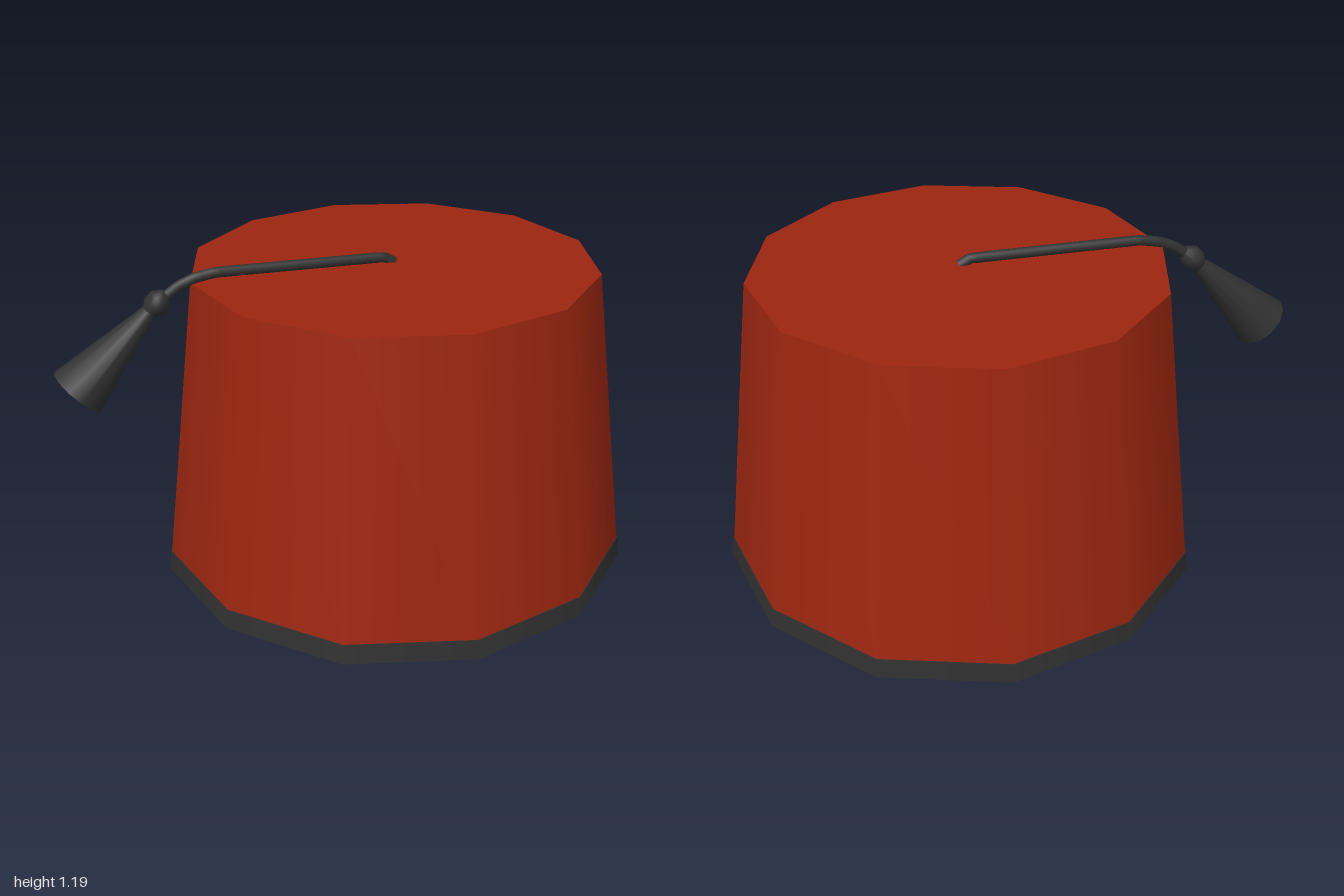
import * as THREE from 'three';

const felt = new THREE.MeshStandardMaterial({ color: 0x9c2610 });
felt.name = 'red felt';
const black = new THREE.MeshStandardMaterial({ color: 0x303030 });
black.name = 'black trim';

// Revolves one smooth strip of [radius, height] points; strips keep hard edges between them.
function strip(name, points, sides, material) {
  const profile = points.map(([r, y]) => new THREE.Vector2(r, y));
  const mesh = new THREE.Mesh(new THREE.LatheGeometry(profile, sides), material);
  mesh.name = name;
  return mesh;
}

export function createModel() {
  const model = new THREE.Group();
  model.name = 'tasselledHat';
  const hat = new THREE.Group();
  hat.name = 'hat';
  hat.position.x = 0.094;
  model.add(hat);

  // Twelve-sided crown, hollow underneath, with a trim around the rim
  const sides = 12;
  hat.add(
    strip('outerWall', [[0.89, 0.07], [0.75, 1.14]], sides, felt),
    strip('crownTop', [[0.75, 1.14], [0, 1.14]], sides, felt),
    strip('innerWall', [[0.6, 1.0], [0.735, 0]], sides, felt),
    strip('innerCeiling', [[0, 1.0], [0.6, 1.0]], sides, felt),
    strip('rimBand', [[0.903, 0], [0.893, 0.072]], sides, black),
    strip('rimBandTop', [[0.893, 0.072], [0.88, 0.072]], sides, black),
    strip('rimUnderside', [[0.735, 0], [0.903, 0]], sides, black),
  );

  // Cord and tassel lie in one upright plane, turned toward the back right
  const trim = new THREE.Group();
  trim.name = 'cordAndTassel';
  trim.rotation.y = Math.PI - Math.PI / 6;
  hat.add(trim);

  const path = new THREE.CurvePath();
  const stops = [[0, 1.135], [0.04, 1.158], [0.66, 1.169], [0.73, 1.158], [0.79, 1.135], [0.87, 1.08]]
    .map(([s, y]) => new THREE.Vector3(s, y, 0));
  for (let i = 1; i < stops.length; i++) path.add(new THREE.LineCurve3(stops[i - 1], stops[i]));
  const cord = new THREE.Mesh(new THREE.TubeGeometry(path, 40, 0.02, 8), black);
  cord.name = 'cord';
  trim.add(cord);

  // Tassel hangs outward and down from the knot
  const tassel = new THREE.Group();
  tassel.name = 'tassel';
  tassel.position.set(0.87, 1.08, 0);
  tassel.quaternion.setFromUnitVectors(
    new THREE.Vector3(0, 1, 0), new THREE.Vector3(0.306, -0.3, 0).normalize());
  tassel.add(
    strip('knot', [[0, -0.05], [0.022, -0.045], [0.043, -0.018], [0.043, 0.015], [0.028, 0.042]], 10, black),
    strip('tasselSkirt', [[0.028, 0.04], [0.106, 0.42]], 12, black),
    strip('tasselEnd', [[0.106, 0.42], [0, 0.42]], 12, black),
  );
  trim.add(tassel);
  return model;
}
